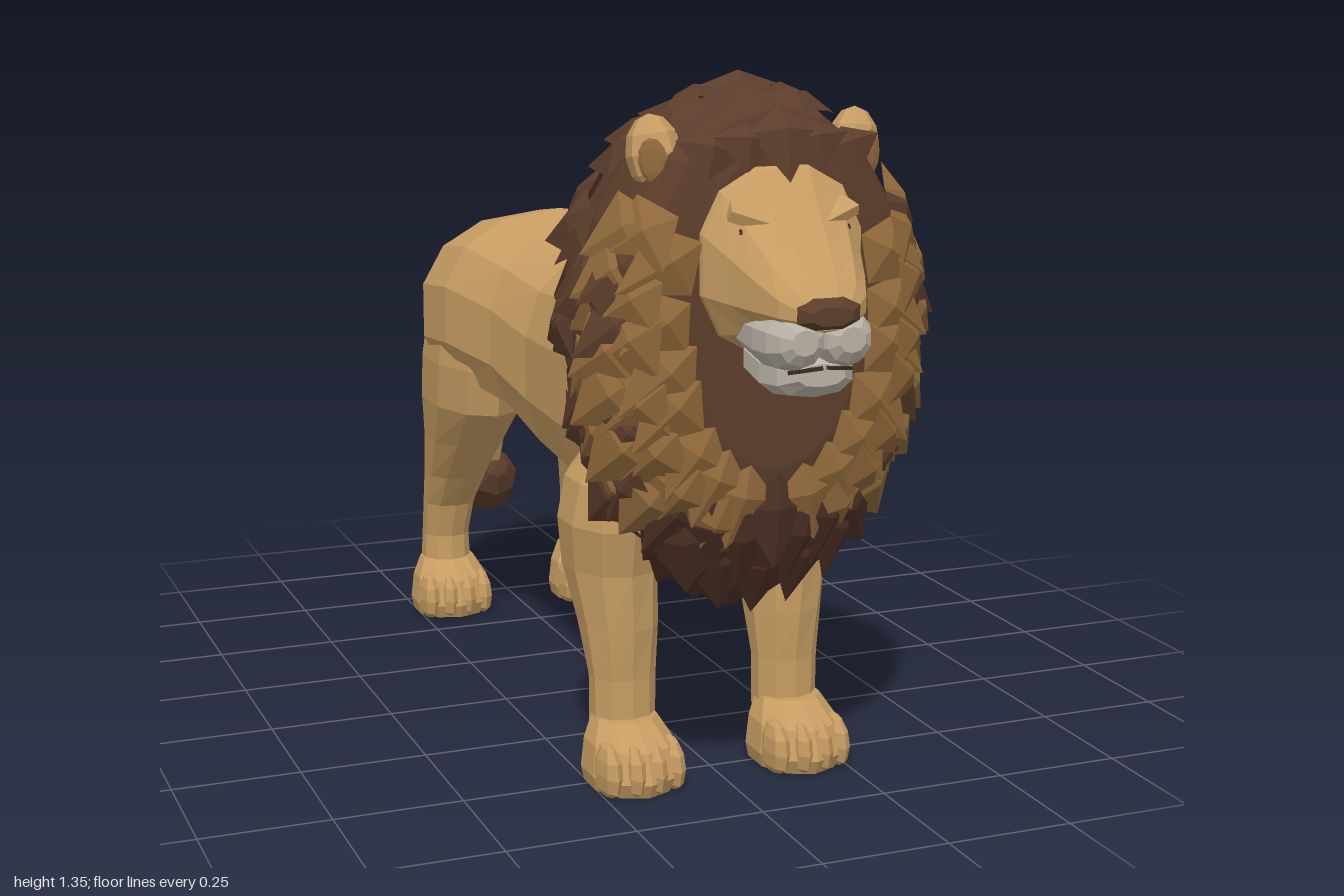
import * as THREE from 'three';
import { mergeGeometries } from 'three/addons/utils/BufferGeometryUtils.js';

const V = (x, y, z) => new THREE.Vector3(x, y, z);
const mat = (name, color, side = THREE.FrontSide) => {
  const m = new THREE.MeshStandardMaterial({ color, flatShading: true, side });
  m.name = name;
  return m;
};

function triangles(points) {
  const g = new THREE.BufferGeometry().setFromPoints(points);
  g.computeVertexNormals();
  return g;
}

// Closed skin through rings of points, with end caps, always facing outwards
function loft(rings) {
  const tri = [];
  const n = rings[0].length;
  for (let i = 0; i < rings.length - 1; i++)
    for (let j = 0; j < n; j++) {
      const k = (j + 1) % n, a = rings[i], b = rings[i + 1];
      tri.push([a[j], a[k], b[k]], [a[j], b[k], b[j]]);
    }
  [rings[0], rings[rings.length - 1]].forEach((r, end) => {
    const c = r.reduce((s, p) => s.add(p), V(0, 0, 0)).divideScalar(n);
    r.forEach((p, j) => tri.push(end ? [c, p, r[(j + 1) % n]] : [c, r[(j + 1) % n], p]));
  });
  const volume = tri.reduce((s, [a, b, c]) => s + a.dot(b.clone().cross(c)), 0);
  return triangles(tri.flatMap(([a, b, c]) => (volume < 0 ? [a, c, b] : [a, b, c])));
}

const around = (n, fn) => Array.from({ length: n }, (_, i) => fn(((i + 0.5) / n) * Math.PI * 2));
const pw = (v, e) => Math.sign(v) * Math.abs(v) ** e;

// Sections across z: [z, bottom, top, half width]
const zLoft = (sections, n, e = 0.85) => loft(sections.map(([z, yb, yt, w]) => around(n, (a) =>
  V(w * pw(Math.cos(a), e), (yb + yt) / 2 + ((yt - yb) / 2) * pw(Math.sin(a), e), z))));

// Sections across y: [y, x, z, radius x, radius z]
const yLoft = (sections, n) => loft(sections.map(([y, x, z, rx, rz]) =>
  around(n, (a) => V(x + rx * Math.cos(a), y, z + rz * Math.sin(a)))));

const ball = (x, y, z, rx, ry, rz) =>
  new THREE.SphereGeometry(1, 8, 6).scale(rx, ry, rz).translate(x, y, z);

// Ridged tuft lying on a surface, pointing along d
function leaf(p, n, d, len, w, lift) {
  const s = n.clone().cross(d);
  const at = (a, b, c) => p.clone().addScaledVector(d, a).addScaledVector(s, b).addScaledVector(n, c);
  const root = at(-0.35 * len, 0, 0), tip = at(0.65 * len, 0, lift);
  const left = at(0, w / 2, 0), right = at(0, -w / 2, 0), ridge = at(0, 0, w * 0.17);
  return triangles([ridge, tip, left, ridge, left, root, ridge, root, right, ridge, right, tip]);
}

// Mane volume
const MANE = [
  [0.18, 0.9, 1.04, 0.08], [0.24, 0.8, 1.12, 0.17], [0.35, 0.65, 1.21, 0.24],
  [0.46, 0.5, 1.28, 0.285], [0.57, 0.44, 1.315, 0.305], [0.65, 0.42, 1.315, 0.312],
  [0.72, 0.47, 1.31, 0.3], [0.77, 0.55, 1.3, 0.255], [0.79, 0.66, 1.24, 0.17],
];
function manePoint(t, a) {
  const i = Math.min(Math.max(Math.floor(t), 0), MANE.length - 2), f = t - i;
  const [z, yb, yt, w] = MANE[i].map((v, k) => v + (MANE[i + 1][k] - v) * f);
  return V(w * Math.cos(a), (yb + yt) / 2 + ((yt - yb) / 2) * Math.sin(a), z);
}
function maneLeaf(t, a, dir, len, w, lift) {
  const p = manePoint(t, a);
  const da = manePoint(t, a + 0.02).sub(p), dt = manePoint(t + 0.02, a).sub(p);
  const n = da.cross(dt).normalize();
  if (n.x * Math.cos(a) + n.y * Math.sin(a) < 0) n.negate();
  const d = dir.clone().addScaledVector(n, -dir.dot(n)).normalize();
  return leaf(p.addScaledVector(n, 0.004), n, d, len, w, lift);
}

// Seeded random in -1..1
function makeRandom(seed) {
  return () => {
    seed = (seed * 16807) % 2147483647;
    return (seed / 2147483647) * 2 - 1;
  };
}

export function createModel() {
  const rnd = makeRandom(7);
  const tan = mat('tan coat', 0xc69c62);
  const dark = mat('dark mane', 0x5c3d2b, THREE.DoubleSide);
  const mid = mat('golden brown mane', 0x8f683a, THREE.DoubleSide);
  const deep = mat('chest mane', 0x4c3024, THREE.DoubleSide);
  const white = mat('pale muzzle', 0xbab3a8);
  const belly = mat('pale belly', 0xb59f78);
  const black = mat('eye dark', 0x3a2a1c);

  const lion = new THREE.Group();
  lion.name = 'lion';
  const add = (name, geometry, material, parent = lion) => {
    const m = new THREE.Mesh(geometry, material);
    m.name = name;
    parent.add(m);
    return m;
  };

  // Body
  add('body', zLoft([
    [0.6, 0.55, 0.85, 0.1], [0.5, 0.47, 0.93, 0.19], [0.35, 0.45, 0.95, 0.197],
    [0.15, 0.44, 0.95, 0.193], [-0.05, 0.46, 0.932, 0.189], [-0.2, 0.52, 0.952, 0.218],
    [-0.35, 0.54, 0.982, 0.27], [-0.48, 0.54, 0.962, 0.282], [-0.58, 0.55, 0.915, 0.24],
    [-0.65, 0.57, 0.855, 0.175], [-0.685, 0.6, 0.77, 0.09],
  ], 14), tan);
  add('belly', zLoft([
    [0.28, 0.445, 0.5, 0.04], [0.15, 0.434, 0.53, 0.1], [-0.05, 0.454, 0.55, 0.1], [-0.2, 0.515, 0.58, 0.05],
  ], 10, 1), belly);

  // Legs and paws
  for (const side of [1, -1]) {
    const leg = (name, sections, pawZ, l) => {
      const g = new THREE.Group();
      g.name = name;
      lion.add(g);
      add('leg', yLoft(sections.map(([y, x, ...r]) => [y, x * side, ...r]), 10), tan, g);
      const x = 0.172 * side;
      add('paw', yLoft([
        [0, x, pawZ - 0.01 * l, 0.084, 0.105 * l], [0.03, x, pawZ - 0.004 * l, 0.092, 0.114 * l],
        [0.085, x, pawZ - 0.012 * l, 0.084, 0.1 * l], [0.125, x, pawZ - 0.038 * l, 0.062, 0.064 * l],
      ], 10), tan, g);
      for (let i = 0; i < 4; i++) {
        const k = i - 1.5;
        const toe = ball(x + k * 0.042, 0.042, pawZ + (0.06 - Math.abs(k) * 0.014) * l, 0.023, 0.058, 0.062 * l);
        const p = toe.attributes.position;
        for (let j = 0; j < p.count; j++) p.setY(j, Math.max(0, p.getY(j)));
        add('toe', toe, tan, g);
      }
    };
    leg(side > 0 ? 'leftFrontLeg' : 'rightFrontLeg', [
      [0.68, 0.12, 0.43, 0.06, 0.1], [0.58, 0.165, 0.43, 0.096, 0.135], [0.5, 0.18, 0.43, 0.097, 0.132],
      [0.41, 0.178, 0.42, 0.088, 0.12], [0.3, 0.172, 0.45, 0.076, 0.085],
      [0.2, 0.17, 0.468, 0.065, 0.056], [0.1, 0.17, 0.468, 0.064, 0.058],
    ], 0.52, 1);
    leg(side > 0 ? 'leftHindLeg' : 'rightHindLeg', [
      [0.86, 0.14, -0.44, 0.08, 0.1], [0.74, 0.162, -0.45, 0.102, 0.18], [0.64, 0.167, -0.468, 0.104, 0.205],
      [0.54, 0.167, -0.49, 0.1, 0.2], [0.44, 0.162, -0.555, 0.087, 0.135], [0.34, 0.165, -0.622, 0.07, 0.085],
      [0.26, 0.17, -0.662, 0.059, 0.057], [0.18, 0.173, -0.682, 0.054, 0.052], [0.1, 0.173, -0.682, 0.058, 0.058],
    ], -0.648, 0.83);
  }

  // Tail
  const tailPath = new THREE.CatmullRomCurve3([
    V(0, 0.88, -0.6), V(0, 0.82, -0.675), V(0, 0.62, -0.73), V(0, 0.42, -0.785), V(0, 0.28, -0.85),
  ]);
  add('tail', new THREE.TubeGeometry(tailPath, 12, 0.016, 6), tan);
  const tuft = add('tailTuft', new THREE.LatheGeometry(
    [[0, -0.12], [0.045, -0.085], [0.072, -0.01], [0.062, 0.06], [0.03, 0.1], [0, 0.112]]
      .map(([r, y]) => new THREE.Vector2(r, y)), 8), dark);
  tuft.position.set(0, 0.232, -0.903);
  tuft.rotation.x = 0.95;

  // Head
  const head = new THREE.Group();
  head.name = 'head';
  lion.add(head);
  add('face', zLoft([
    [0.6, 0.9, 1.2, 0.15], [0.75, 0.86, 1.23, 0.165], [0.8, 0.87, 1.2, 0.155], [0.85, 0.89, 1.14, 0.128],
    [0.91, 0.915, 1.08, 0.106], [0.96, 0.935, 1.03, 0.084], [0.985, 0.945, 1.0, 0.055],
  ], 12), tan, head);
  add('chin', zLoft([
    [0.83, 0.835, 0.92, 0.09], [0.89, 0.815, 0.91, 0.088], [0.935, 0.822, 0.9, 0.074], [0.962, 0.845, 0.885, 0.045],
  ], 10), white, head);
  add('nose', zLoft([
    [0.94, 0.96, 1.012, 0.05], [0.984, 0.945, 1.003, 0.062], [1.0, 0.955, 0.988, 0.04],
  ], 8), dark, head);
  for (const side of [1, -1]) {
    // Muzzle half, drooping to the side
    const lobe = zLoft([
      [0.83, 0.88, 0.975, 0.058], [0.9, 0.868, 0.982, 0.062], [0.945, 0.87, 0.978, 0.056],
      [0.975, 0.885, 0.965, 0.042], [0.988, 0.905, 0.95, 0.025],
    ], 10, 0.95).translate(side * 0.044, 0, 0);
    add('muzzle', lobe, white, head);
    const lip = add('mouthLine', new THREE.BoxGeometry(0.06, 0.006, 0.008), black, head);
    lip.position.set(side * 0.032, 0.876, 0.964);
    lip.rotation.set(0, side * 0.4, -side * 0.15);
    const eye = add('eye', new THREE.BoxGeometry(0.055, 0.009, 0.008), black, head);
    eye.position.set(side * 0.078, 1.1, 0.856);
    eye.rotation.set(-0.6, side * 0.4, side * 0.12);
    const brow = add('brow', new THREE.BoxGeometry(0.085, 0.02, 0.04), tan, head);
    brow.position.set(side * 0.076, 1.12, 0.838);
    brow.rotation.set(0.4, side * 0.35, side * 0.2);
    // Ear
    const ear = new THREE.Group();
    ear.name = side > 0 ? 'leftEar' : 'rightEar';
    ear.position.set(side * 0.193, 1.218, 0.678);
    ear.rotation.set(-0.1, side * 0.45, -side * 0.1);
    head.add(ear);
    add('earShell', ball(0, 0, 0, 0.05, 0.07, 0.045), tan, ear);
    add('innerEar', ball(0, -0.012, 0.04, 0.026, 0.04, 0.008), mid, ear);
  }

  // Mane base
  add('maneBase', loft(MANE.map((_, t) => around(18, (a) => manePoint(t, a)))), dark);

  // Swept-back mane tufts in staggered rows, leaving room for the ears
  const back = [], gold = [], chest = [];
  for (let row = 0; row < 10; row++) {
    const t = 0.5 + row * 0.66, n = 9 + Math.round(row * 0.7);
    for (let i = 0; i < n; i++) {
      const a = ((i + (row % 2) / 2) / n) * Math.PI * 2 + rnd() * 0.1;
      const dir = V(rnd() * 0.3, -0.6 + rnd() * 0.25, -0.75);
      const len = 0.16 + rnd() * 0.03;
      if (t > 4.4 && Math.abs(Math.abs(Math.cos(a)) - 0.65) < 0.2 && Math.sin(a) > 0) continue;
      (Math.sin(a) < -0.72 && t > 3 ? chest : back).push(
        maneLeaf(t, a, dir, len, 0.13 + rnd() * 0.02, 0.018 + rnd() * 0.01));
    }
  }
  // Golden tufts fanning round the cheeks: [mane position, length, width, lowest angle, count]
  [[5.5, 0.15, 0.15, -0.6, 4], [6.2, 0.16, 0.15, -0.75, 6], [6.9, 0.17, 0.15, -1.1, 7], [7.5, 0.17, 0.14, -1.25, 7]]
    .forEach(([t, len, w, low, count]) => {
      for (const side of [1, -1])
        for (let i = 0; i < count; i++) {
          const b = low + i * 0.26 + rnd() * 0.05;
          const a = side > 0 ? b : Math.PI - b;
          const dir = V(Math.cos(a) * 0.75, Math.sin(a) * 0.4 - 0.6, -0.5);
          gold.push(maneLeaf(t, a, dir, len + rnd() * 0.02, w, 0.008));
        }
    });
  // Beard and chest tufts hanging down
  [5.4, 6.1, 6.8, 7.4].forEach((t, row) => {
    const n = row > 2 ? 0 : 2;
    for (let i = -n; i <= n; i++)
      chest.push(maneLeaf(t, -Math.PI / 2 + i * (0.22 + (row % 2) * 0.05), V(-i * 0.04, -1, -0.1), 0.18, 0.14, 0.02));
  });
  // Hairline with a widow's peak over the forehead
  for (let i = -2; i <= 2; i++) {
    const x = i * 0.065;
    back.push(leaf(V(x, 1.26 - Math.abs(x) * 0.2, 0.793 - Math.abs(x) * 0.1), V(0, 0.35, 0.94).normalize(),
      V(x * 2, -0.94, 0.35).normalize(), i ? 0.09 : 0.14, 0.13, 0.002));
  }
  // Crown peak
  back.push(leaf(V(0, 1.325, 0.6), V(0, 1, 0), V(0, 0, -1), 0.2, 0.16, -0.01));
  add('maneTufts', mergeGeometries(back), dark);
  add('cheekTufts', mergeGeometries(gold), mid);
  add('chestTufts', mergeGeometries(chest), deep);

  return lion;
}
